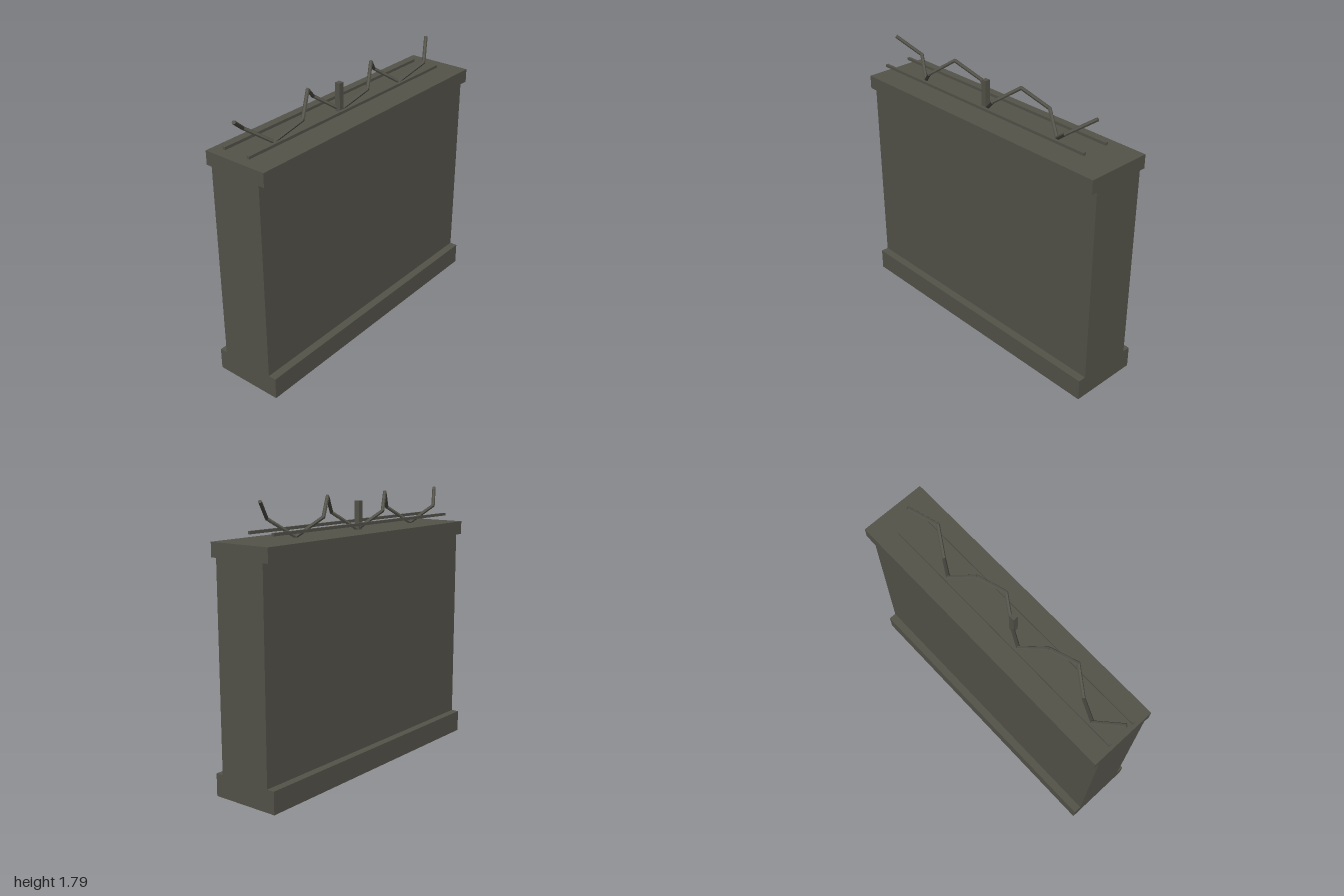
import * as THREE from 'three';

export function createModel() {
  const group = new THREE.Group();
  const concrete = new THREE.MeshStandardMaterial({ color: 0x54534a, flatShading: true });
  concrete.name = 'olive grey';

  function addBox(name, w, h, d, x, y, z) {
    const mesh = new THREE.Mesh(new THREE.BoxGeometry(w, h, d), concrete);
    mesh.name = name;
    mesh.position.set(x, y + h / 2, z);
    group.add(mesh);
  }

  // Wall with a wider foot and coping
  addBox('wallFoot', 0.472, 0.145, 2, 0, 0, 0);
  addBox('wallPanel', 0.366, 1.315, 2, 0, 0.145, 0);
  addBox('wallCoping', 0.446, 0.09, 2, 0, 1.46, 0);

  // Post and two straight wires on the coping
  addBox('wirePost', 0.036, 0.185, 0.036, 0, 1.55, 0.092);
  for (const side of [-1, 1]) {
    addBox(side > 0 ? 'leftWire' : 'rightWire', 0.018, 0.018, 1.8, side * 0.093, 1.586, 0.08);
  }

  // Coiled wire: three turns of four straight rods each
  const coil = new THREE.Group();
  coil.name = 'coiledWire';
  group.add(coil);
  const coilPoint = (i) => new THREE.Vector3(
    -0.092 * Math.sin(i * Math.PI / 2),
    1.665 + 0.112 * Math.cos(i * Math.PI / 2),
    0.98 - i * 0.15
  );
  const up = new THREE.Vector3(0, 1, 0);
  for (let i = 0; i < 12; i++) {
    const a = coilPoint(i), b = coilPoint(i + 1);
    const dir = b.clone().sub(a);
    const rod = new THREE.Mesh(new THREE.CylinderGeometry(0.012, 0.012, dir.length() + 0.006, 6), concrete);
    rod.name = 'coilRod';
    rod.position.copy(a).add(b).multiplyScalar(0.5);
    rod.quaternion.setFromUnitVectors(up, dir.normalize());
    coil.add(rod);
  }

  return group;
}
